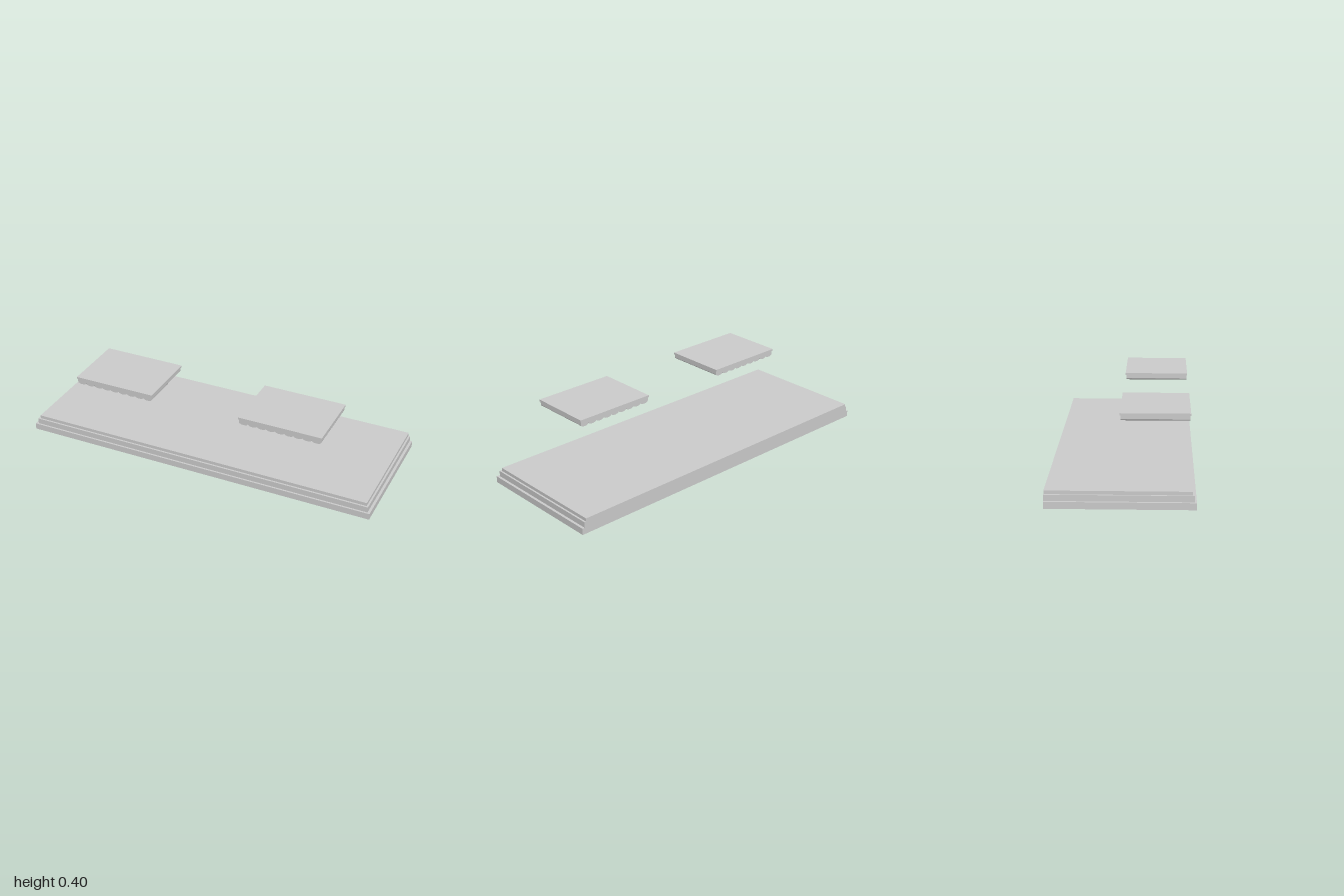
import * as THREE from 'three';

const material = new THREE.MeshStandardMaterial({ color: 0xcccccc });

// Box given by its extents on each axis
function slab(name, x0, x1, y0, y1, z0, z1) {
  const mesh = new THREE.Mesh(new THREE.BoxGeometry(x1 - x0, y1 - y0, z1 - z0), material);
  mesh.position.set((x0 + x1) / 2, (y0 + y1) / 2, (z0 + z1) / 2);
  mesh.name = name;
  return mesh;
}

// Block whose underside is a row of rounded scallops running front to back
function scallopedBlock(width, top, bottom, depth, count) {
  const shape = new THREE.Shape();
  const step = width / count;
  const drop = 0.011;
  shape.moveTo(-width / 2, top);
  shape.lineTo(-width / 2, bottom + drop);
  for (let i = 0; i < count; i++) {
    const cx = -width / 2 + (i + 0.5) * step;
    shape.absellipse(cx, bottom + drop, step / 2, drop, Math.PI, Math.PI * 2, false, 0);
  }
  shape.lineTo(width / 2, top);
  shape.closePath();
  return new THREE.ExtrudeGeometry(shape, { depth, bevelEnabled: false, curveSegments: 8 });
}

export function createModel() {
  const model = new THREE.Group();

  // Stepped platform, flush along the back
  const platform = new THREE.Group();
  platform.name = 'platform';
  const back = -0.366;
  platform.add(
    slab('bottomStep', -1, 1, 0, 0.035, back, 0.367),
    slab('middleStep', -0.986, 0.986, 0.035, 0.066, back, 0.357),
    slab('topStep', -0.976, 0.976, 0.066, 0.084, back, 0.347)
  );
  model.add(platform);

  // Pair of floating canopies: flat roof over a scalloped valance
  for (const side of [-1, 1]) {
    const canopy = new THREE.Group();
    canopy.name = side > 0 ? 'leftCanopy' : 'rightCanopy';
    canopy.position.x = side * 0.483;
    canopy.add(slab('canopyRoof', -0.231, 0.231, 0.391, 0.402, -0.01, 0.342));
    const valance = new THREE.Mesh(scallopedBlock(0.454, 0.391, 0.361, 0.344, 9), material);
    valance.name = 'scallopedValance';
    valance.position.z = -0.006;
    canopy.add(valance);
    model.add(canopy);
  }

  return model;
}
